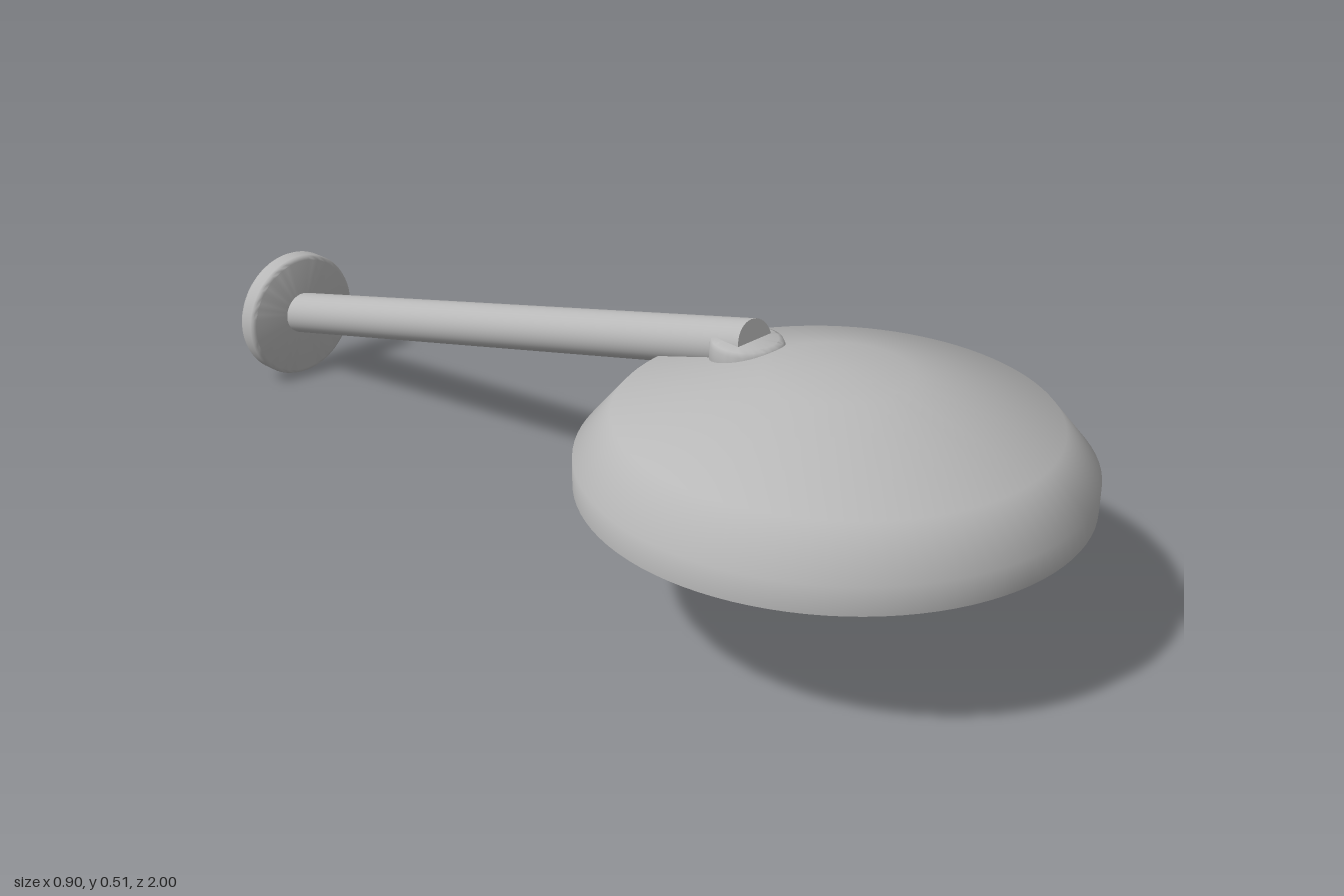
import * as THREE from 'three';
import { toCreasedNormals } from 'three/addons/utils/BufferGeometryUtils.js';

const metal = new THREE.MeshStandardMaterial({ color: 0xb8b8b8 });
metal.name = 'greyMetal';
const dark = new THREE.MeshStandardMaterial({ color: 0x787879 });
dark.name = 'darkDiffuser';

// Turned part from [radius, height] points, listed bottom to top
function turned(name, points, material, crease, segments = 64) {
  const profile = points.map(([r, y]) => new THREE.Vector2(r, y));
  const geometry = toCreasedNormals(new THREE.LatheGeometry(profile, segments), crease);
  const mesh = new THREE.Mesh(geometry, material);
  mesh.name = name;
  return mesh;
}

// Disc with softened rims
function roundedDisc(name, r, h, b) {
  return turned(name, [
    [0, 0], [r - b, 0], [r - b * 0.3, b * 0.3], [r, b],
    [r, h - b], [r - b * 0.3, h - b * 0.3], [r - b, h], [0, h],
  ], metal, 0.9);
}

export function createModel() {
  const model = new THREE.Group();
  model.name = 'wallLamp';

  // Domed shade
  const shade = turned('shade', [
    [0, 0.268], [0.45, 0.268], [0.45, 0.32], [0.385, 0.398], [0.13, 0.475], [0, 0.483],
  ], metal, 1.2, 96);
  shade.position.z = 0.548;

  // Light panel under the shade
  const diffuser = turned('diffuser', [
    [0, 0.262], [0.416, 0.262], [0.416, 0.269], [0, 0.269],
  ], dark, 0.6, 96);
  diffuser.position.z = 0.548;

  // Pivot where the arm meets the shade
  const pivot = roundedDisc('pivot', 0.067, 0.06, 0.012);
  pivot.position.set(0, 0.418, 0.345);

  // Sloping arm
  const start = new THREE.Vector3(0, 0.144, -0.96);
  const end = new THREE.Vector3(0, 0.472, 0.363);
  const along = end.clone().sub(start);
  const arm = new THREE.Mesh(new THREE.CylinderGeometry(0.044, 0.044, along.length(), 40), metal);
  arm.name = 'arm';
  arm.position.copy(start).add(end).multiplyScalar(0.5);
  arm.quaternion.setFromUnitVectors(new THREE.Vector3(0, 1, 0), along.normalize());

  // Round wall plate
  const wallPlate = roundedDisc('wallPlate', 0.137, 0.047, 0.009);
  wallPlate.rotation.x = Math.PI / 2;
  wallPlate.position.set(0, 0.139, -1);

  model.add(shade, diffuser, pivot, arm, wallPlate);
  return model;
}
